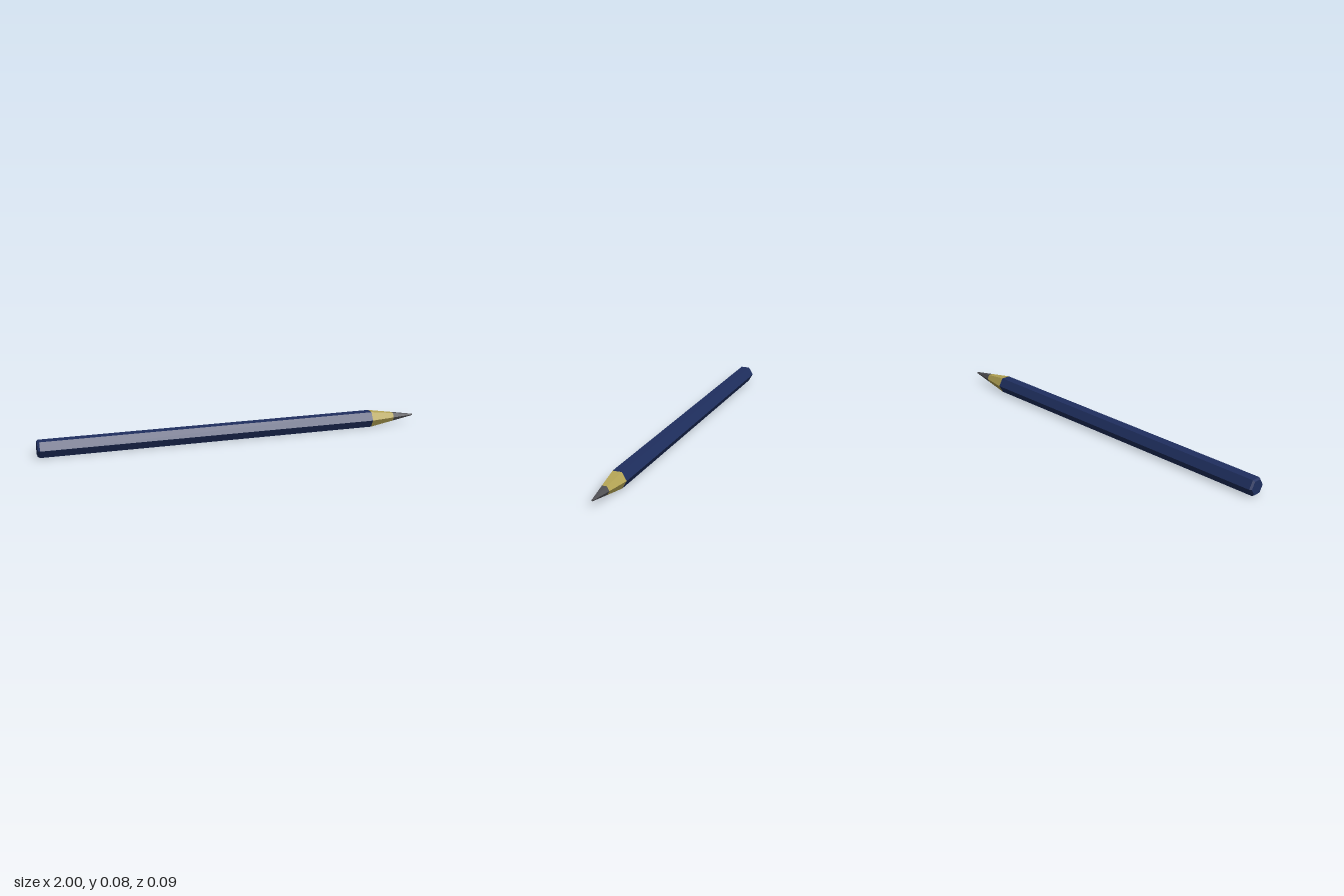
import * as THREE from 'three';

const RADIUS = 0.046;
const CENTRE_Y = RADIUS * Math.cos(Math.PI / 6);

// Six-sided section along x; profile is [radius, x] from back end to tip
function hexSection(name, color, profile) {
  const points = profile.map(([r, x]) => new THREE.Vector2(r, x));
  const geometry = new THREE.LatheGeometry(points, 6);
  geometry.rotateZ(-Math.PI / 2);
  const material = new THREE.MeshStandardMaterial({ color, flatShading: true });
  const mesh = new THREE.Mesh(geometry, material);
  mesh.name = name;
  mesh.position.y = CENTRE_Y;
  return mesh;
}

export function createModel() {
  const pencil = new THREE.Group();
  pencil.name = 'pencil';
  pencil.add(
    // Painted barrel with a closed, slightly bevelled back end
    hexSection('barrel', 0x1f2f5f, [[0, -1], [0.039, -1], [RADIUS, -0.99], [RADIUS, 0.75]]),
    // Sharpened bare wood
    hexSection('woodCone', 0xb5a555, [[RADIUS, 0.75], [0.024, 0.88]]),
    // Lead with a small blunt point
    hexSection('leadTip', 0x505054, [[0.024, 0.88], [0.004, 0.998], [0, 1]])
  );
  return pencil;
}
